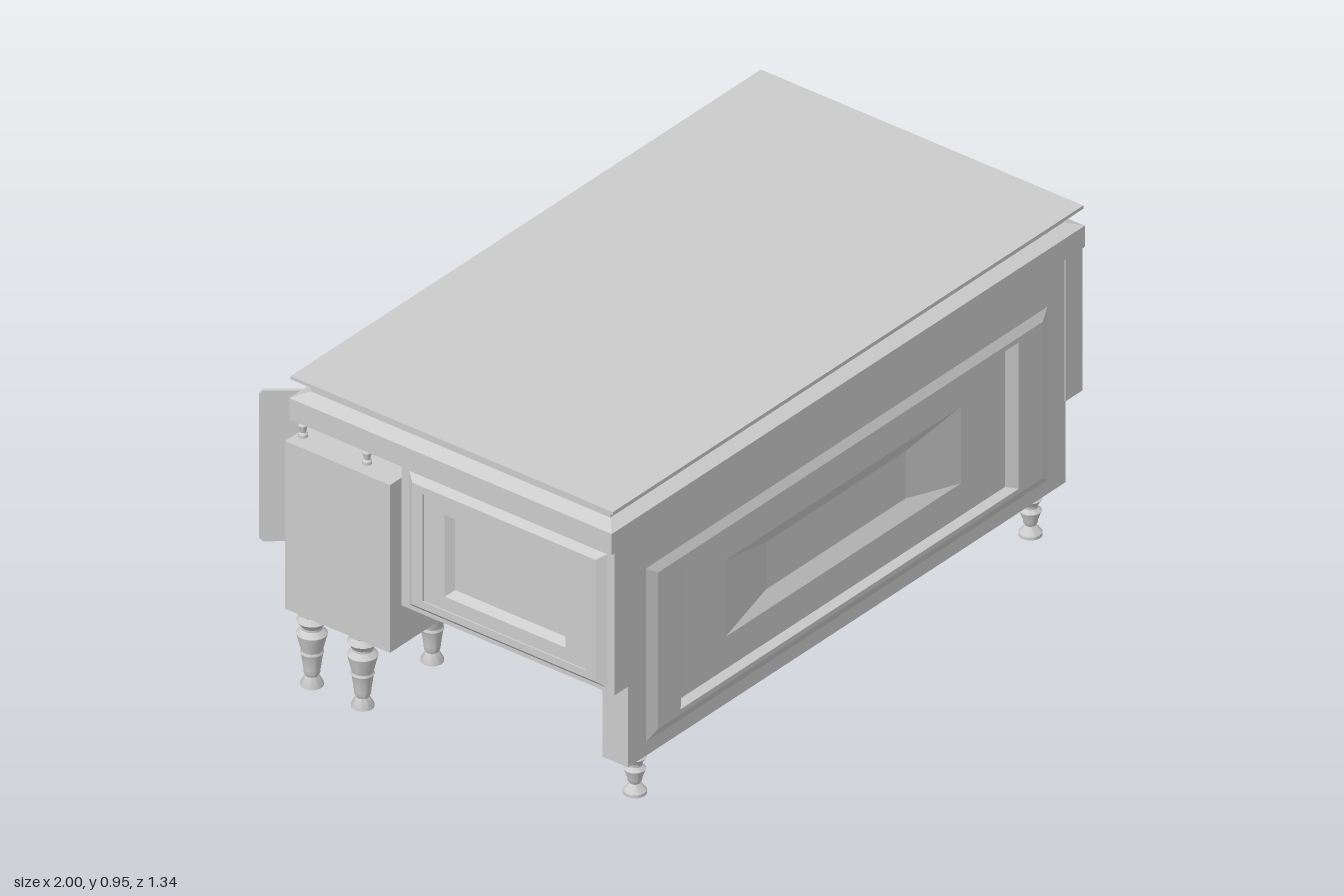
import * as THREE from 'three';
import { toCreasedNormals } from 'three/addons/utils/BufferGeometryUtils.js';

const grey = new THREE.MeshStandardMaterial({ color: 0xcccccc });

function add(parent, name, geometry, x = 0, y = 0, z = 0) {
  const mesh = new THREE.Mesh(geometry, grey);
  mesh.name = name;
  mesh.position.set(x, y, z);
  parent.add(mesh);
  return mesh;
}

// Box given by its limits
function addBox(parent, name, x0, x1, y0, y1, z0, z1) {
  return add(parent, name, new THREE.BoxGeometry(x1 - x0, y1 - y0, z1 - z0),
    (x0 + x1) / 2, (y0 + y1) / 2, (z0 + z1) / 2);
}

// Closed loft through rectangles [u0, u1, v0, v1, depth], stacked along +z
function rectLoft(sections) {
  const rings = sections.map(([u0, u1, v0, v1, d]) =>
    [[u0, v0, d], [u1, v0, d], [u1, v1, d], [u0, v1, d]]);
  const out = [];
  const quad = (a, b, c, d) => out.push(...a, ...b, ...c, ...a, ...c, ...d);
  for (let r = 0; r < rings.length - 1; r++) {
    for (let i = 0; i < 4; i++) {
      const j = (i + 1) % 4;
      quad(rings[r][i], rings[r][j], rings[r + 1][j], rings[r + 1][i]);
    }
  }
  const first = rings[0], last = rings[rings.length - 1];
  quad(first[3], first[2], first[1], first[0]);
  quad(...last);
  const geometry = new THREE.BufferGeometry();
  geometry.setAttribute('position', new THREE.Float32BufferAttribute(out, 3));
  geometry.computeVertexNormals();
  return geometry;
}

// Turned part from [radius, height] points
function turned(profile, height = 1) {
  const points = profile.map(([r, y]) => new THREE.Vector2(r, y * height));
  return toCreasedNormals(new THREE.LatheGeometry(points, 20), 0.6);
}

const legProfile = [[0, 0], [0.031, 0], [0.031, 0.03], [0.018, 0.13], [0.022, 0.17], [0.023, 0.22],
  [0.029, 0.4], [0.032, 0.43], [0.029, 0.46], [0.042, 0.68], [0.028, 0.74], [0.028, 0.77],
  [0.042, 0.85], [0.03, 0.92], [0.04, 0.95], [0.04, 1], [0, 1]];
const footProfile = [[0, 0], [0.032, 0], [0.032, 0.07], [0.014, 0.24], [0.019, 0.3], [0.02, 0.36],
  [0.03, 0.58], [0.02, 0.66], [0.02, 0.72], [0.032, 0.86], [0.022, 0.92], [0.022, 1], [0, 1]];
const spindleProfile = [[0, 0], [0.013, 0], [0.013, 0.12], [0.008, 0.2], [0.013, 0.5],
  [0.008, 0.62], [0.014, 0.75], [0.009, 0.86], [0.014, 0.92], [0.014, 1], [0, 1]];

function addTurned(parent, name, profile, xs, zs, y0, y1) {
  const geometry = turned(profile, y1 - y0);
  for (const x of xs) for (const z of zs) add(parent, name, geometry, x, y0, z);
}

export function createModel() {
  const desk = new THREE.Group();
  desk.name = 'desk';

  // Desktop with a grooved edge above the apron
  add(desk, 'desktop', rectLoft([
    [-0.995, 0.978, -0.662, 0.42, 0.82],
    [-0.995, 0.978, -0.662, 0.42, 0.885],
    [-0.955, 0.935, -0.625, 0.38, 0.902],
    [-0.955, 0.935, -0.625, 0.38, 0.914],
    [-0.99, 0.972, -0.662, 0.42, 0.94],
    [-0.99, 0.972, -0.662, 0.42, 0.95],
  ])).rotation.x = -Math.PI / 2;

  // Front board: raised moulding, sunk field and a hollowed centre
  add(desk, 'frontPanel', rectLoft([
    [-0.92, 0.905, 0.13, 0.82, 0.57],
    [-0.92, 0.905, 0.13, 0.82, 0.656],
    [-0.845, 0.83, 0.172, 0.705, 0.656],
    [-0.81, 0.795, 0.2, 0.68, 0.668],
    [-0.715, 0.695, 0.215, 0.665, 0.668],
    [-0.685, 0.667, 0.226, 0.655, 0.645],
    [-0.5, 0.482, 0.325, 0.56, 0.645],
    [-0.3, 0.282, 0.365, 0.51, 0.62],
  ]));
  addTurned(desk, 'frontFoot', footProfile, [-0.84, 0.81], [0.615], 0, 0.13);

  // Side boards, each with a raised and recessed panel
  for (const side of [1, -1]) {
    const face = side > 0 ? 0.972 : 0.98;
    const section = (z0, z1, y0, y1, d) => side > 0 ? [-z1, -z0, y0, y1, d] : [z0, z1, y0, y1, d];
    add(desk, side > 0 ? 'leftSidePanel' : 'rightSidePanel', rectLoft([
      section(-0.055, 0.66, 0.382, 0.82, 0.9),
      section(-0.055, 0.66, 0.382, 0.82, face),
      section(-0.03, 0.635, 0.395, 0.805, face),
      section(-0.005, 0.61, 0.413, 0.787, 0.998),
      section(0.03, 0.575, 0.435, 0.765, 0.998),
      section(0.03, 0.575, 0.435, 0.765, 0.993),
      section(0.1, 0.505, 0.475, 0.726, 0.993),
      section(0.118, 0.488, 0.492, 0.712, 0.972),
    ])).rotation.y = side * Math.PI / 2;
  }

  // Drawer pedestal
  const drawers = new THREE.Group();
  drawers.name = 'drawerPedestal';
  desk.add(drawers);
  addBox(drawers, 'pedestalBody', 0.59, 0.97, 0.2, 0.765, -0.4, -0.02);
  for (const [y0, y1] of [[0.29, 0.43], [0.445, 0.57], [0.585, 0.705]]) {
    add(drawers, 'drawerFront', rectLoft([
      [-0.92, -0.64, y0, y1, 0.39],
      [-0.92, -0.64, y0, y1, 0.402],
      [-0.905, -0.655, y0 + 0.014, y1 - 0.014, 0.416],
    ])).rotation.y = Math.PI;
  }
  addTurned(drawers, 'pedestalLeg', legProfile, [0.65, 0.9], [-0.13, -0.295], 0, 0.2);
  addTurned(drawers, 'spindle', spindleProfile, [0.63, 0.93], [-0.06, -0.385], 0.765, 0.82);

  // Open shelf pedestal
  const shelves = new THREE.Group();
  shelves.name = 'shelfPedestal';
  desk.add(shelves);
  const [x0, x1, y0, y1, z0, z1] = [-0.998, -0.61, 0.235, 0.75, -0.432, -0.08];
  addBox(shelves, 'shelfSide', x0, x0 + 0.035, y0, y1, z0, z1);
  addBox(shelves, 'shelfSide', x1 - 0.035, x1, y0, y1, z0, z1);
  addBox(shelves, 'shelfBase', x0 + 0.035, x1 - 0.035, y0, y0 + 0.03, z0, z1);
  addBox(shelves, 'shelfTop', x0 + 0.035, x1 - 0.035, y1 - 0.03, y1, z0, z1);
  addBox(shelves, 'shelfBack', x0 + 0.035, x1 - 0.035, y0 + 0.03, y1 - 0.03, z1 - 0.02, z1);
  for (let i = 1; i <= 3; i++) {
    const y = y0 + 0.015 + i * (y1 - y0 - 0.03) / 4;
    addBox(shelves, 'shelf', x0 + 0.035, x1 - 0.035, y - 0.006, y + 0.006, z0 + 0.02, z1 - 0.02);
  }
  addTurned(shelves, 'pedestalLeg', legProfile, [-0.95, -0.66], [-0.21, -0.38], 0, 0.235);
  addTurned(shelves, 'spindle', spindleProfile, [-0.95, -0.66], [-0.195, -0.41], 0.75, 0.82);

  // Door standing open on the inner edge, with clipped corners
  const w = 0.303, c = 0.01, low = 0.262, high = 0.725;
  const outline = new THREE.Shape([[c, low], [w - c, low], [w, low + c], [w, high - c],
    [w - c, high], [c, high], [0, high - c], [0, low + c]].map(([x, y]) => new THREE.Vector2(x, y)));
  const door = add(shelves, 'door',
    new THREE.ExtrudeGeometry(outline, { depth: 0.01, bevelEnabled: false }), -0.622, 0, -0.432);
  door.rotation.y = Math.atan2(0.235, -0.19);

  return desk;
}
